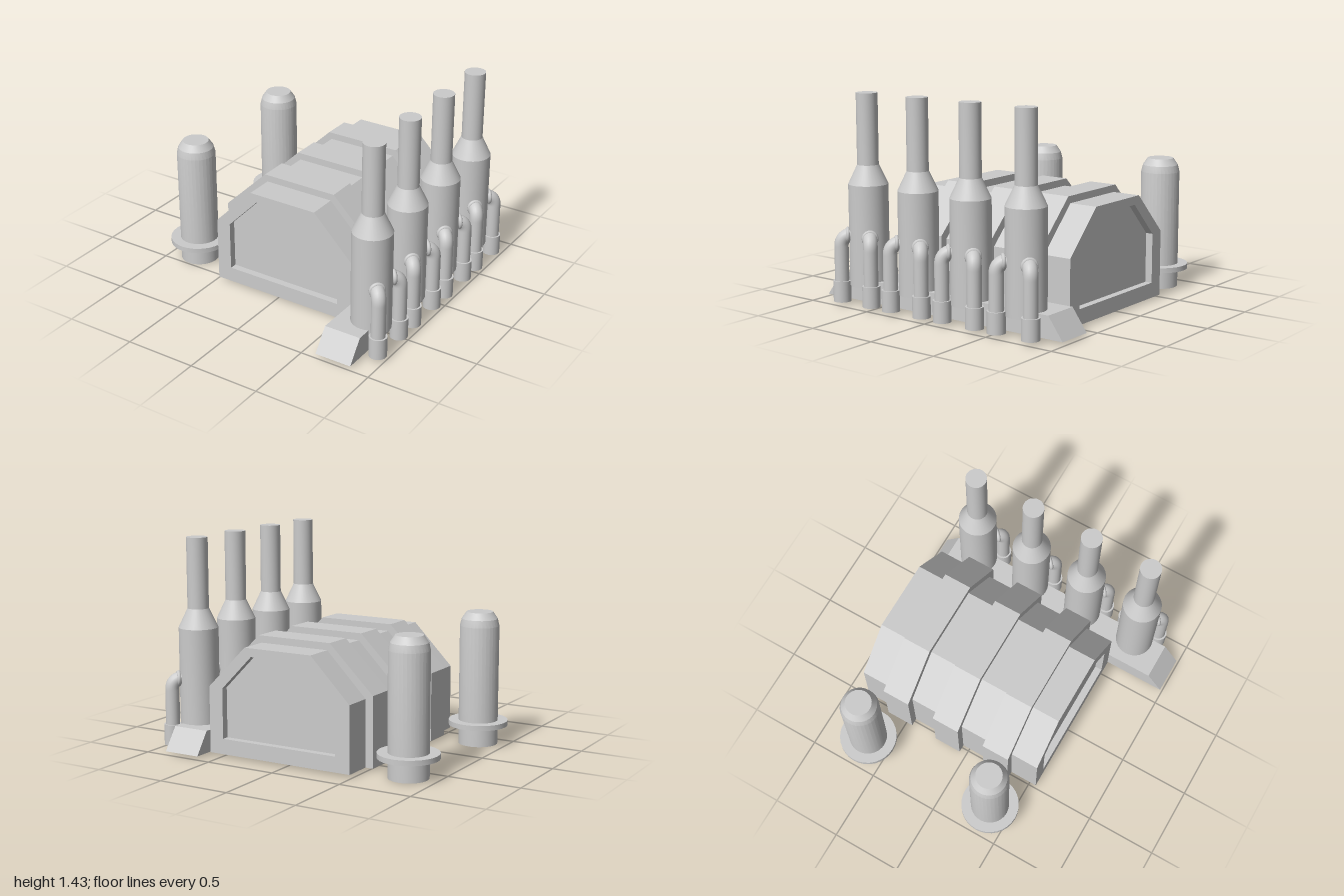
import * as THREE from 'three';
import { toCreasedNormals } from 'three/addons/utils/BufferGeometryUtils.js';

const material = new THREE.MeshStandardMaterial({ color: 0xcccccc });

function part(name, geometry, parent) {
  const mesh = new THREE.Mesh(geometry, material);
  mesh.name = name;
  parent.add(mesh);
  return mesh;
}

const points = (list) => list.map(([x, y]) => new THREE.Vector2(x, y));

// Turned solid from a bottom-to-top list of [radius, height]
function turned(profile, sides = 32) {
  return toCreasedNormals(new THREE.LatheGeometry(points(profile), sides), 0.3);
}

// Chamfered hall outline: wall x, eave x, floor y, shoulder y, top y
const hallOutline = (x0, x1, e0, e1, floor, shoulder, top) =>
  points([[x0, floor], [x1, floor], [x1, shoulder], [e1, top], [e0, top], [x0, shoulder]]);

function extruded(shape, zBack, zFront) {
  const g = new THREE.ExtrudeGeometry(shape, { depth: zFront - zBack, bevelEnabled: false });
  return g.translate(0, 0, zBack);
}

function buildHall() {
  const hall = new THREE.Group();
  hall.name = 'hall';
  const recess = hallOutline(-0.38, 0.486, -0.15, 0.255, 0.125, 0.465, 0.7);
  const shell = new THREE.Shape(hallOutline(-0.485, 0.59, -0.2, 0.305, 0.02, 0.47, 0.757));
  shell.holes.push(new THREE.Path(recess));
  part('hallShell', extruded(shell, -0.85, 0.55), hall);
  // Recessed end walls, front and back
  part('endWalls', extruded(new THREE.Shape(recess), -0.8, 0.5), hall);
  // Raised ribs wrapped over the hall
  const rib = new THREE.Shape(hallOutline(-0.54, 0.643, -0.22, 0.328, 0.02, 0.495, 0.805));
  for (const z of [-0.55, -0.15, 0.25]) part('rib', extruded(rib, z - 0.1, z + 0.1), hall);
  return hall;
}

function buildTank() {
  const tank = new THREE.Group();
  tank.name = 'tank';
  part('tankBody', turned([[0, 0], [0.134, 0], [0.134, 0.82], [0.122, 0.868], [0.09, 0.915], [0, 0.915]]), tank);
  part('tankFlange', turned([[0, 0.13], [0.202, 0.13], [0.202, 0.165], [0, 0.165]]), tank);
  return tank;
}

// Elbow pipe leaving the chimney along local +x and dropping to the ground
function buildPipe() {
  const pipe = new THREE.Group();
  pipe.name = 'elbowPipe';
  const r = 0.187;
  const v = (x, y) => new THREE.Vector3(x, y, 0);
  const path = new THREE.CurvePath();
  path.add(new THREE.LineCurve3(v(r, 0.1), v(r, 0.4)));
  path.add(new THREE.QuadraticBezierCurve3(v(r, 0.4), v(r, 0.47), v(0.11, 0.475)));
  part('pipeBend', new THREE.TubeGeometry(path, 40, 0.048, 20), pipe);
  part('pipeSleeve', new THREE.CylinderGeometry(0.06, 0.06, 0.142, 24), pipe).position.set(r, 0.091, 0);
  const collar = part('pipeCollar', new THREE.TorusGeometry(0.042, 0.014, 10, 24), pipe);
  collar.position.set(0.143, 0.472, 0);
  collar.rotation.y = Math.PI / 2;
  return pipe;
}

function buildChimney() {
  const chimney = new THREE.Group();
  chimney.name = 'chimney';
  part('chimneyStack', turned([[0, 0.13], [0.134, 0.13], [0.134, 0.82], [0.072, 0.95], [0.072, 1.43], [0, 1.43]]), chimney);
  for (const side of [-1, 1]) {
    const pipe = buildPipe();
    pipe.rotation.y = side * Math.PI / 4;
    chimney.add(pipe);
  }
  return chimney;
}

export function createModel() {
  const model = new THREE.Group();
  model.name = 'powerPlant';
  model.add(buildHall());

  // Long plinth with sloped ends under the chimneys
  const side = new THREE.Shape(points([[-0.985, 0.02], [0.985, 0.02], [0.873, 0.17], [-0.877, 0.17]]));
  const plinth = extruded(side, 0, 0.26).rotateY(-Math.PI / 2).translate(0.86, 0, 0);
  part('plinth', plinth, model);

  for (const z of [-0.668, -0.23, 0.208, 0.646]) {
    const chimney = buildChimney();
    chimney.position.set(0.805, 0, z);
    model.add(chimney);
  }
  for (const z of [-0.65, 0.355]) {
    const tank = buildTank();
    tank.position.set(-0.798, 0, z);
    model.add(tank);
  }
  return model;
}
